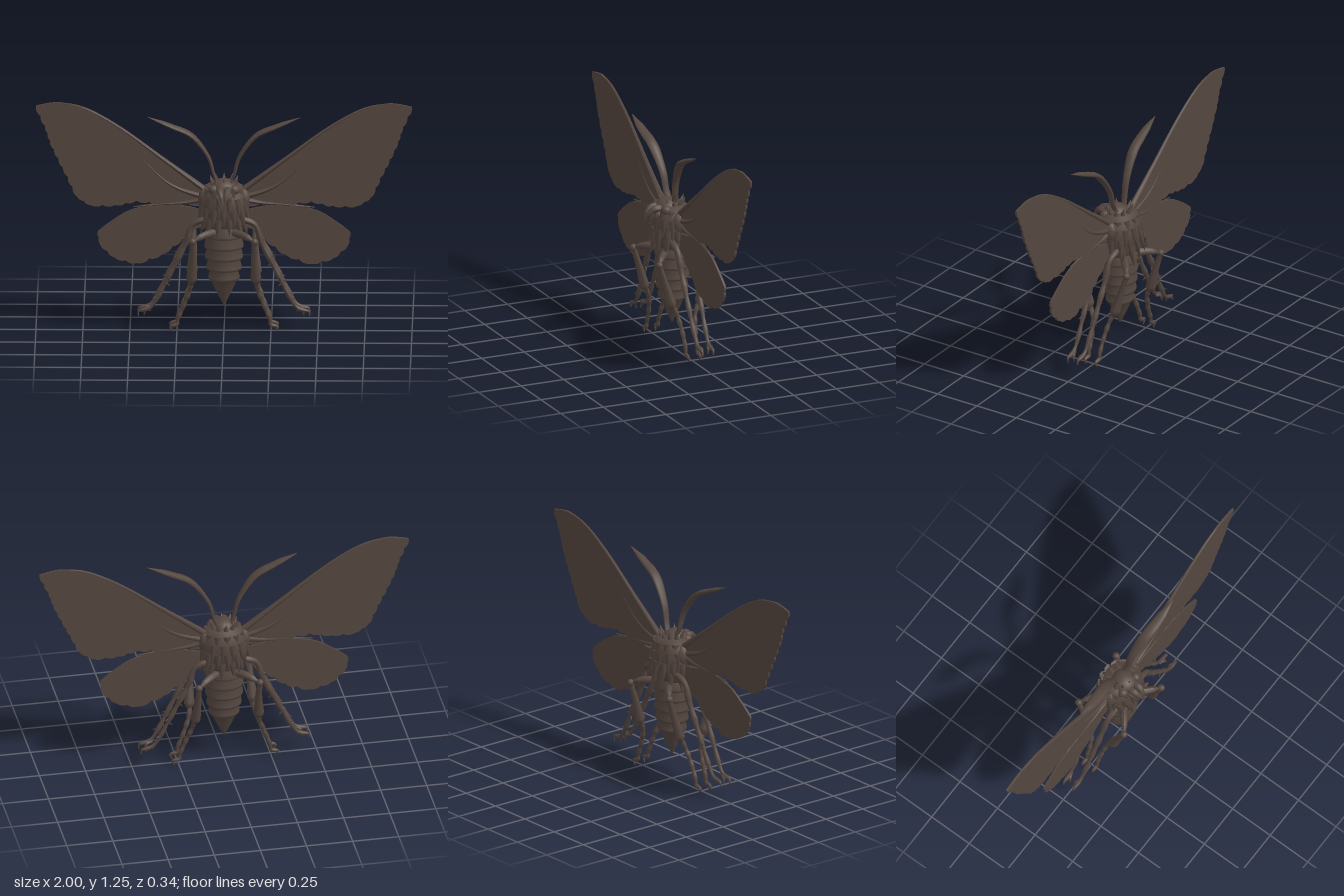
import * as THREE from 'three';

const bark = new THREE.MeshStandardMaterial({ color: 0x54463f });
bark.name = 'dark brown';

const V = (p) => new THREE.Vector3(...p);

function part(parent, name, geometry) {
  const mesh = new THREE.Mesh(geometry, bark);
  mesh.name = name;
  parent.add(mesh);
  return mesh;
}

// Tube along a curve with a varying radius; zScale widens it into a blade
function taper(points, radii, { segs = 24, sides = 8, zScale = 1, tension = 0.5 } = {}) {
  const curve = new THREE.CatmullRomCurve3(points.map(V), false, 'catmullrom', tension);
  const geo = new THREE.TubeGeometry(curve, segs, 1, sides);
  const pos = geo.attributes.position, p = new THREE.Vector3();
  for (let i = 0; i <= segs; i++) {
    const c = curve.getPointAt(i / segs);
    const t = (i / segs) * (radii.length - 1), k = Math.min(Math.floor(t), radii.length - 2);
    const r = THREE.MathUtils.lerp(radii[k], radii[k + 1], t - k);
    for (let j = 0; j <= sides; j++) {
      const n = i * (sides + 1) + j;
      p.fromBufferAttribute(pos, n).sub(c).multiplyScalar(r);
      pos.setXYZ(n, c.x + p.x, c.y + p.y, c.z + p.z * zScale);
    }
  }
  geo.computeVertexNormals();
  return geo;
}

// Pointed tuft or thorn from a base along a direction
function spike(parent, name, base, dir, length, radius) {
  const d = V(dir).normalize();
  const mesh = part(parent, name, new THREE.ConeGeometry(radius, length, 6));
  mesh.quaternion.setFromUnitVectors(new THREE.Vector3(0, 1, 0), d);
  mesh.position.copy(V(base)).addScaledVector(d, length / 2);
}

// Thin wing: smooth leading edge, scalloped margin
function wing(lead, margin, s) {
  const lp = lead.map(([x, y]) => new THREE.Vector2(x * s, y));
  const mp = margin.map(([x, y]) => new THREE.Vector2(x * s, y));
  const shape = new THREE.Shape();
  shape.moveTo(lp[0].x, lp[0].y);
  shape.splineThru(lp.slice(1));
  let prev = lp[lp.length - 1];
  for (const q of mp) {
    for (let k = 1; k <= 2; k++) {
      const a = prev.clone().lerp(q, (k - 1) / 2), b = prev.clone().lerp(q, k / 2);
      const out = new THREE.Vector2(-(b.y - a.y), b.x - a.x).multiplyScalar(0.3 * s);
      const m = a.clone().add(b).multiplyScalar(0.5).add(out);
      shape.quadraticCurveTo(m.x, m.y, b.x, b.y);
    }
    prev = q;
  }
  shape.closePath();
  const geo = new THREE.ExtrudeGeometry(shape, { depth: 0.012, bevelEnabled: false, curveSegments: 5 });
  return geo.translate(0, 0, -0.006);
}

function addWings(g, s) {
  part(g, 'foreWing', wing(
    [[0.08, 0.77], [0.15, 0.82], [0.33, 0.955], [0.55, 1.12], [0.73, 1.225], [0.86, 1.257], [0.93, 1.255], [1, 1.24]],
    [[0.95, 1.13], [0.925, 1.05], [0.88, 0.95], [0.83, 0.85], [0.78, 0.74], [0.71, 0.695], [0.58, 0.695],
      [0.465, 0.72], [0.33, 0.705], [0.08, 0.71]], s));
  part(g, 'hindWing', wing(
    [[0.08, 0.66], [0.2, 0.69], [0.33, 0.7], [0.49, 0.67], [0.6, 0.605], [0.67, 0.55]],
    [[0.66, 0.48], [0.58, 0.405], [0.465, 0.375], [0.33, 0.425], [0.22, 0.51], [0.09, 0.62]], s));
  // Raised veins and front rim
  const veins = [
    [[0.1, 0.78], [0.33, 0.953], [0.55, 1.118], [0.73, 1.222], [0.86, 1.252], [0.99, 1.238]],
    [[0.1, 0.74], [0.25, 0.79], [0.36, 0.87], [0.5, 1.03]],
    [[0.1, 0.73], [0.2, 0.71], [0.33, 0.7], [0.48, 0.685]],
  ];
  for (const v of veins) {
    part(g, 'wingVein', taper(v.map(([x, y]) => [x * s, y, 0]), [0.018, 0.012, 0.009, 0.007, 0.003], { sides: 6 }));
  }
}

function addAntenna(g, s) {
  part(g, 'antenna', taper(
    [[0.035, 0.82, 0], [0.055, 0.87, 0.008], [0.085, 0.97, 0.015], [0.17, 1.085, 0.03], [0.28, 1.14, 0.04], [0.405, 1.192, 0.045]]
      .map(([x, y, z]) => [x * s, y, z]),
    [0.008, 0.009, 0.011, 0.014, 0.014, 0.011, 0.001], { segs: 30, zScale: 2.1 }));
}

function addLegs(g, s, f) {
  const put = (pts) => pts.map(([x, y, z]) => [x * s, y, z * f]);
  // Bent leg with a flared shin
  const bent = new THREE.Group();
  bent.name = 'bentLeg';
  g.add(bent);
  part(bent, 'thigh', taper(put([[0.05, 0.56, 0.06], [0.11, 0.555, 0.11], [0.168, 0.532, 0.155]]), [0.022, 0.022, 0.018, 0.001]));
  part(bent, 'knee', new THREE.SphereGeometry(0.02, 10, 8)).position.set(0.165 * s, 0.533, 0.15 * f);
  part(bent, 'shin', taper(put([[0.165, 0.54, 0.153], [0.165, 0.42, 0.115], [0.175, 0.262, 0.07]]),
    [0.015, 0.016, 0.018, 0.021, 0.025, 0.029, 0.001]));
  part(bent, 'foot', taper(put([[0.172, 0.29, 0.07], [0.185, 0.23, 0.05], [0.215, 0.15, 0.037], [0.245, 0.075, 0.034],
    [0.25, 0.045, 0.034], [0.285, 0.035, 0.034], [0.273, 0.006, 0.032]]),
  [0.012, 0.014, 0.01, 0.015, 0.01, 0.014, 0.01, 0.013, 0.009, 0.012, 0.008, 0.002], { segs: 44 }));

  // Slender thorny leg
  const slim = new THREE.Group();
  slim.name = 'thornyLeg';
  g.add(slim);
  part(slim, 'legShaft', taper(put([[0.07, 0.64, 0.05], [0.165, 0.6, 0.045], [0.2, 0.5, 0.04], [0.255, 0.39, 0.038], [0.31, 0.28, 0.036],
    [0.35, 0.2, 0.034], [0.39, 0.14, 0.033], [0.44, 0.122, 0.032], [0.455, 0.118, 0.032], [0.455, 0.092, 0.03]]),
  [0.014, 0.018, 0.014, 0.019, 0.013, 0.018, 0.012, 0.016, 0.01, 0.015, 0.009, 0.012, 0.003], { segs: 48 }));
  part(slim, 'claw', taper(put([[0.385, 0.13, 0.033], [0.415, 0.122, 0.02], [0.425, 0.09, 0.012]]), [0.01, 0.009, 0.002]));
  for (const [x, y, side] of [[0.19, 0.53, 1], [0.235, 0.43, 1], [0.255, 0.39, -1], [0.3, 0.3, 1], [0.31, 0.28, -1], [0.35, 0.2, 1]]) {
    spike(slim, 'thorn', [x * s, y, 0.037 * f], [side * s, side > 0 ? -0.2 : -0.9, 0.3 * f], 0.035, 0.008);
  }
}

function addBody(g) {
  // Ringed abdomen with overlapping plates
  const pts = [[0, 0.14], [0.018, 0.175], [0.048, 0.235], [0.07, 0.285]];
  [[0.29, 0.082], [0.345, 0.093], [0.405, 0.1], [0.465, 0.103], [0.525, 0.102]].forEach(([y, r]) => {
    pts.push([r, y], [r + 0.002, y + 0.012], [r - 0.008, y + 0.055]);
  });
  pts.push([0.085, 0.6], [0, 0.62]);
  part(g, 'abdomen', new THREE.LatheGeometry(pts.map((p) => new THREE.Vector2(...p)), 24)).scale.z = 0.9;
  // Thorax and head
  part(g, 'thorax', new THREE.LatheGeometry([[0, 0.54], [0.08, 0.55], [0.11, 0.6], [0.128, 0.67], [0.13, 0.72],
    [0.118, 0.77], [0.09, 0.81], [0, 0.83]].map((p) => new THREE.Vector2(...p)), 20)).scale.z = 0.84;
  const head = part(g, 'head', new THREE.SphereGeometry(1, 16, 12));
  head.scale.set(0.07, 0.055, 0.07);
  head.position.set(0, 0.795, 0.025);
  for (const s of [-1, 1]) {
    const eye = part(g, 'eye', new THREE.SphereGeometry(0.028, 12, 10));
    eye.position.set(0.055 * s, 0.795, 0.06);
    part(g, 'shoulder', new THREE.SphereGeometry(0.05, 12, 10).scale(0.8, 1.3, 1)).position.set(0.1 * s, 0.73, 0);
    part(g, 'mouthPalp', taper([[0.02 * s, 0.8, 0.06], [0.02 * s, 0.8, 0.11], [0.012 * s, 0.775, 0.14], [0.004 * s, 0.735, 0.163]],
      [0.02, 0.02, 0.014, 0.001]));
    part(g, 'mouthPalp', taper([[0.03 * s, 0.775, 0.07], [0.03 * s, 0.765, 0.1], [0.02 * s, 0.715, 0.115]], [0.018, 0.014, 0.001]));
  }
  // Downward fur tufts in staggered rings
  const rows = [[0.79, 0.098, 12], [0.745, 0.116, 14], [0.69, 0.122, 14], [0.635, 0.108, 12]];
  rows.forEach(([y, r, n], k) => {
    for (let i = 0; i < n; i++) {
      const a = ((i + (k % 2) / 2) / n) * Math.PI * 2, x = Math.sin(a), z = Math.cos(a);
      spike(g, 'furTuft', [x * r * 0.92, y, z * r * 0.8], [x * 0.3, -1, z * 0.3], 0.085 + 0.015 * (i % 3), 0.024);
    }
  });
  // Crest of short spikes
  for (let i = 0; i < 10; i++) {
    const a = (i / 10) * Math.PI * 2, x = Math.sin(a), z = Math.cos(a);
    spike(g, 'crestSpike', [x * 0.06, 0.81, z * 0.05], [x * 0.4, 1, z * 0.4], 0.052, 0.016);
  }
}

export function createModel() {
  const g = new THREE.Group();
  g.name = 'moth';
  addBody(g);
  for (const s of [-1, 1]) {
    addWings(g, s);
    addAntenna(g, s);
    for (const f of [-1, 1]) addLegs(g, s, f);
  }
  return g;
}
